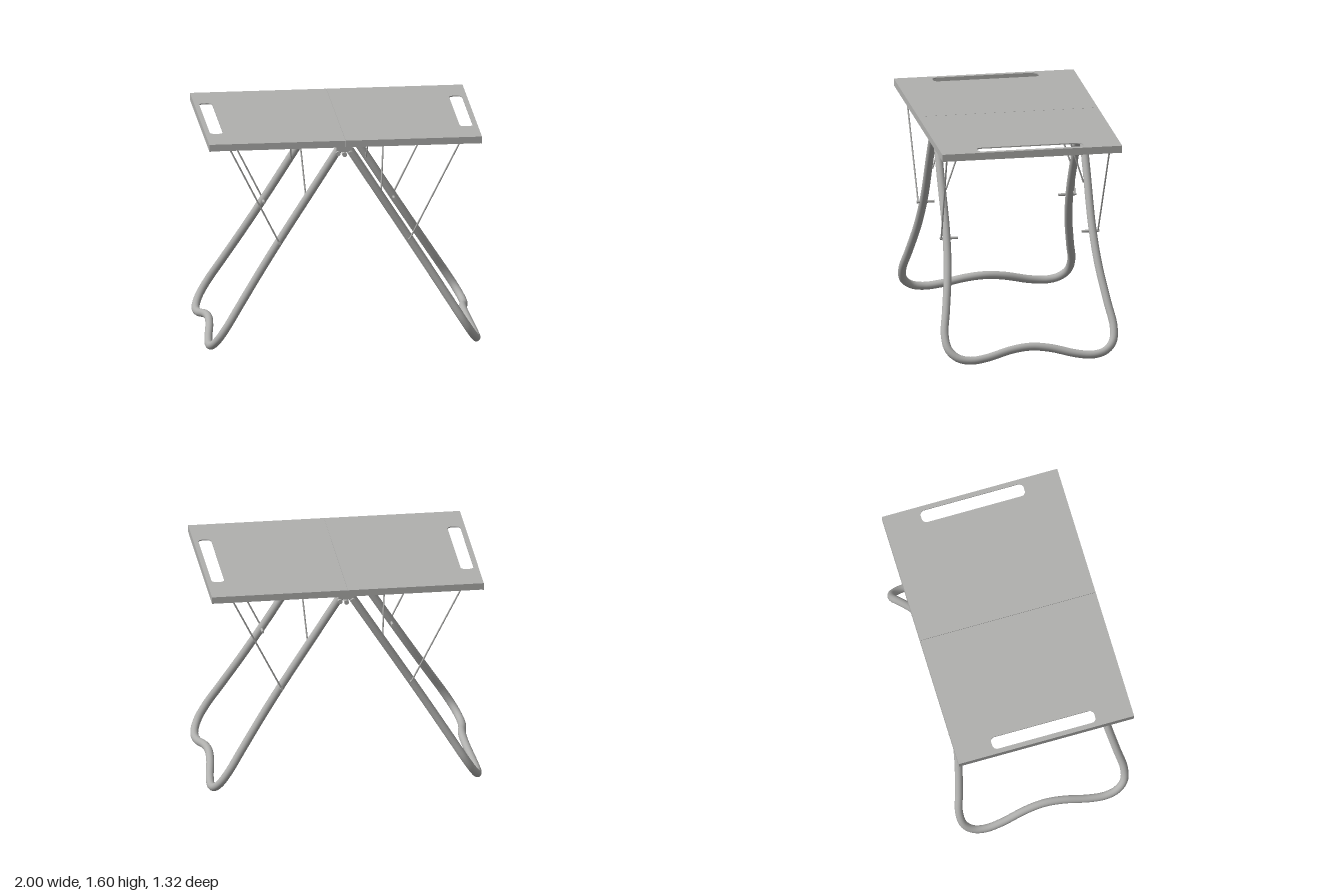
import * as THREE from 'three';

export function createModel() {
  const model = new THREE.Group();
  model.name = 'foldingTable';
  const metal = new THREE.MeshStandardMaterial({ color: 0xb0b0ae });
  metal.name = 'grey metal';

  const V = (x, y, z) => new THREE.Vector3(x, y, z);
  const add = (parent, name, geometry) => {
    const mesh = new THREE.Mesh(geometry, metal);
    mesh.name = name;
    parent.add(mesh);
    return mesh;
  };
  const box = (parent, name, x0, x1, y0, y1, z0, z1) =>
    add(parent, name, new THREE.BoxGeometry(x1 - x0, y1 - y0, z1 - z0))
      .position.set((x0 + x1) / 2, (y0 + y1) / 2, (z0 + z1) / 2);
  // Round rod between two points
  const rod = (parent, name, a, b, r) => {
    const mesh = add(parent, name, new THREE.CylinderGeometry(r, r, a.distanceTo(b), 12));
    mesh.position.copy(a).add(b).multiplyScalar(0.5);
    mesh.quaternion.setFromUnitVectors(V(0, 1, 0), b.clone().sub(a).normalize());
  };

  const X = 0.99, Z = 0.66, TOP = 1.597, SKIN = 0.008, RIM = 0.01;
  const legX = y => 0.972 - (y - 0.028) * 0.634;

  // Half of a leg loop as [z, y], from the hinge to the middle of the foot
  const legProfile = [
    [0.535, 1.5], [0.535, 1.2], [0.535, 0.85], [0.553, 0.6], [0.592, 0.36], [0.62, 0.2],
    [0.602, 0.105], [0.54, 0.05], [0.45, 0.03], [0.33, 0.042], [0.14, 0.086], [0, 0.1],
  ];

  function createHalf() {
    const half = new THREE.Group();

    // Top skin with a rounded carrying slot
    const shape = new THREE.Shape([[0.001, -Z], [X, -Z], [X, Z], [0.001, Z]].map(p => new THREE.Vector2(...p)));
    const s0 = 0.86, s1 = 0.955, sz = 0.388, r = 0.035;
    const slot = new THREE.Path();
    slot.moveTo(s0 + r, -sz);
    slot.absarc(s1 - r, -sz + r, r, -Math.PI / 2, 0, false);
    slot.absarc(s1 - r, sz - r, r, 0, Math.PI / 2, false);
    slot.absarc(s0 + r, sz - r, r, Math.PI / 2, Math.PI, false);
    slot.absarc(s0 + r, -sz + r, r, Math.PI, Math.PI * 1.5, false);
    shape.holes.push(slot);
    const skin = new THREE.ExtrudeGeometry(shape, { depth: SKIN, bevelEnabled: false, curveSegments: 8 });
    skin.rotateX(-Math.PI / 2).translate(0, TOP - SKIN, 0);
    add(half, 'tabletop', skin);

    // Folded rim below the skin
    const y1 = TOP - SKIN;
    box(half, 'endRim', X - RIM, X, 1.544, y1, -Z, Z);
    box(half, 'centreRim', 0.001, RIM, 1.548, y1, -Z + RIM, Z - RIM);
    for (const s of [-1, 1]) {
      const z = s * (Z - RIM / 2);
      box(half, 'sideRim', 0.001, X - RIM, 1.547, y1, z - RIM / 2, z + RIM / 2);
    }

    // Bent tube leg
    const points = legProfile.map(([z, y]) => V(legX(y), y, z));
    const mirrored = points.slice(0, -1).reverse().map(p => V(p.x, p.y, -p.z));
    const curve = new THREE.CatmullRomCurve3([...points, ...mirrored], false, 'centripetal');
    add(half, 'legLoop', new THREE.TubeGeometry(curve, 180, 0.029, 16, false));

    for (const s of [-1, 1]) {
      // Outer strut and the peg through the leg
      const foot = V(legX(0.815), 0.815, s * 0.575);
      rod(half, 'outerStrut', V(0.84, 1.55, s * 0.598), foot, 0.006);
      rod(half, 'strutPeg', V(foot.x, 0.813, s * 0.455), V(foot.x, 0.813, s * 0.585), 0.01);

      // Inner brace from leg to the sprung wire, with its small fork
      const knee = V(0.302, 1.51, s * 0.38);
      rod(half, 'innerBrace', V(0.272, 1.12, s * 0.505), knee, 0.006);
      rod(half, 'braceFork', knee, V(0.305, TOP - SKIN, s * 0.33), 0.006);
      rod(half, 'braceFork', knee, V(0.305, TOP - SKIN, s * 0.43), 0.006);

      // Hinge bolt at the top of the leg
      rod(half, 'legBolt', V(0.047, 1.478, s * 0.495), V(0.047, 1.478, s * 0.59), 0.017);
    }
    const arch = new THREE.CatmullRomCurve3(
      [-0.38, -0.2, 0, 0.2, 0.38].map(z => V(0.302, 1.535 - 0.17 * z * z, z)));
    add(half, 'crossWire', new THREE.TubeGeometry(arch, 24, 0.006, 8, false));
    return half;
  }

  const left = createHalf();
  left.name = 'leftHalf';
  const right = createHalf();
  right.name = 'rightHalf';
  right.rotation.y = Math.PI;
  model.add(left, right);

  // Hinge brackets at the middle of both long sides
  for (const s of [-1, 1]) {
    box(model, 'hingeBracket', -0.056, 0.056, 1.487, 1.56, s * 0.535 - 0.036, s * 0.535 + 0.036);
    rod(model, 'centreBolt', V(0, 1.47, s * 0.495), V(0, 1.47, s * 0.59), 0.017);
  }
  return model;
}
